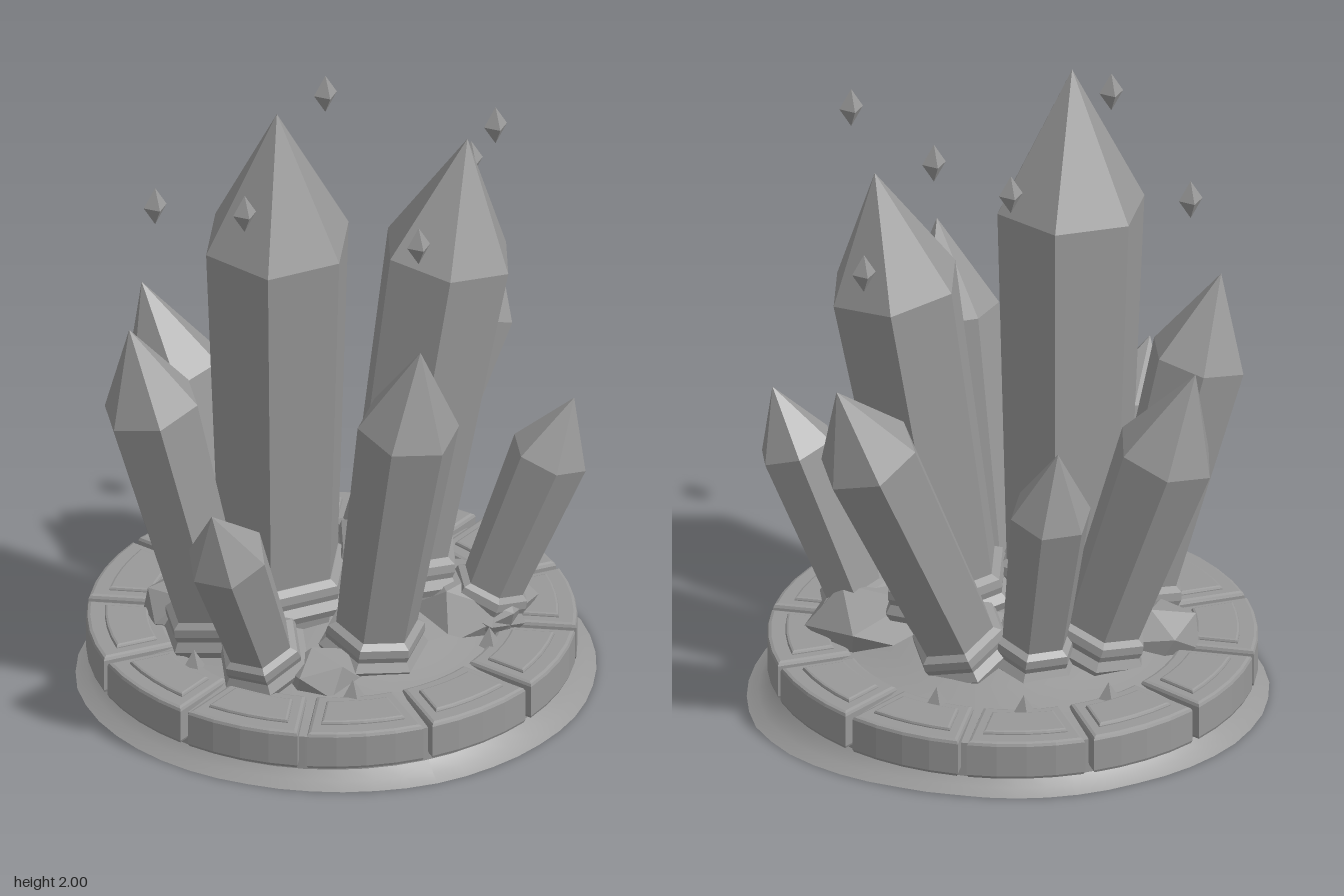
import * as THREE from 'three';

const stone = new THREE.MeshStandardMaterial({ color: 0x999999 });
stone.name = 'grey stone';

const V = (a) => new THREE.Vector3(...a);
const P = (list) => list.map(([x, y]) => new THREE.Vector2(x, y));

// Facet a geometry so every face has its own normal
function facet(geo) {
  const g = geo.index ? geo.toNonIndexed() : geo;
  g.computeVertexNormals();
  return g;
}

function add(parent, name, geo) {
  const mesh = new THREE.Mesh(geo, stone);
  mesh.name = name;
  parent.add(mesh);
  return mesh;
}

// Hexagonal crystal with a bevelled collar, leaning from base to tip
function crystal(name, base, tip, shoulder, r, rBase, yaw) {
  const g = new THREE.Group();
  g.name = name;
  const axis = V(tip).sub(V(base));
  const len = axis.length();
  const start = Math.PI / 2 + yaw;
  add(g, name + 'Shaft', facet(new THREE.LatheGeometry(
    P([[0, -0.17], [rBase * 0.97, -0.17], [r, len * shoulder], [0, len]]), 6, start)));
  const c = rBase * 1.02;
  add(g, name + 'Collar', facet(new THREE.LatheGeometry(
    P([[c, -0.09], [c + 0.035, -0.08], [c + 0.045, -0.055], [c + 0.025, -0.03], [c + 0.03, -0.01],
      [c + 0.025, 0.015], [c, 0.03], [c - 0.03, 0.03]]), 6, start)));
  g.position.set(...base);
  g.quaternion.setFromUnitVectors(new THREE.Vector3(0, 1, 0), axis.normalize());
  return g;
}

// Curved slab: ring sector centred on +x, lying flat with its bottom at y = 0
function sector(r0, r1, gap, height, bevel) {
  const a0 = Math.PI / 12 - gap / r0, a1 = Math.PI / 12 - gap / r1;
  const s = new THREE.Shape();
  const steps = 4;
  for (let i = 0; i <= steps; i++) {
    const a = -a1 + (2 * a1 * i) / steps;
    const x = r1 * Math.cos(a), y = r1 * Math.sin(a);
    if (i) s.lineTo(x, y); else s.moveTo(x, y);
  }
  for (let i = 0; i <= steps; i++) {
    const a = a0 - (2 * a0 * i) / steps;
    s.lineTo(r0 * Math.cos(a), r0 * Math.sin(a));
  }
  const geo = new THREE.ExtrudeGeometry(s, {
    depth: height - 2 * bevel, bevelEnabled: true, bevelThickness: bevel,
    bevelSize: bevel, bevelOffset: -bevel, bevelSegments: 2,
  });
  return geo.translate(0, 0, bevel).rotateX(-Math.PI / 2);
}

// Irregular flared foot: outline radius every 15 degrees from +x towards +z
function footGeometry() {
  const radii = [0.775, 0.765, 0.755, 0.75, 0.74, 0.735, 0.735, 0.73, 0.73, 0.735, 0.75, 0.765,
    0.78, 0.79, 0.785, 0.77, 0.745, 0.72, 0.71, 0.7, 0.69, 0.7, 0.73, 0.76];
  const n = 48;
  const geo = new THREE.LatheGeometry(
    P([[0, 0], [1, 0], [1, 0], [0.955, 0.018], [0.91, 0.045], [0.88, 0.08]]), n);
  const p = geo.attributes.position;
  for (let i = 0; i < p.count; i++) {
    const x = p.getX(i), z = p.getZ(i);
    const t = ((Math.atan2(z, x) / (2 * Math.PI) + 1) % 1) * 24;
    const k = Math.floor(t) % 24, f = t - Math.floor(t);
    const r = radii[k] * (1 - f) + radii[(k + 1) % 24] * f;
    p.setXYZ(i, x * r, p.getY(i), z * r);
  }
  geo.computeVertexNormals();
  return geo;
}

export function createModel() {
  const model = new THREE.Group();
  model.name = 'crystalCluster';

  // Foot and mound
  add(model, 'foot', footGeometry());
  const mound = add(model, 'mound', new THREE.LatheGeometry(
    P([[0.69, 0.06], [0.69, 0.17], [0.69, 0.17], [0.53, 0.18], [0.4, 0.215], [0.25, 0.26], [0, 0.29]]), 48));
  mound.position.x = -0.025;

  // Ring of twelve blocks with raised panels
  const ring = new THREE.Group();
  ring.name = 'blockRing';
  ring.position.set(-0.025, 0.077, -0.008);
  const block = sector(0.5, 0.73, 0.014, 0.123, 0.012);
  const panel = sector(0.545, 0.675, 0.05, 0.025, 0.008);
  for (let i = 0; i < 12; i++) {
    const a = ((i + 0.5) * Math.PI) / 6;
    add(ring, 'ringBlock', block).rotation.y = a;
    const p = add(ring, 'ringPanel', panel);
    p.rotation.y = a;
    p.position.y = 0.109;
  }
  model.add(ring);

  // Crystals: base, tip, shoulder fraction, shoulder radius, base radius, twist
  [
    ['mainCrystal', [-0.2, 0.4, 0.0], [-0.24, 2.0, 0.08], 0.725, 0.23, 0.19, 0],
    ['secondCrystal', [0.17, 0.4, 0.03], [0.384, 1.765, 0.06], 0.725, 0.205, 0.165, 0.15],
    ['leftCrystal', [-0.42, 0.3, 0.0], [-0.67, 1.3, -0.03], 0.73, 0.15, 0.115, 0.3],
    ['frontLeftCrystal', [-0.37, 0.3, 0.26], [-0.595, 0.88, 0.42], 0.69, 0.125, 0.1, 0.2],
    ['backRightCrystal', [0.2, 0.3, -0.18], [0.62, 1.245, -0.295], 0.74, 0.155, 0.12, 0.4],
    ['frontCrystal', [-0.01, 0.3, 0.29], [0.045, 1.34, 0.5], 0.73, 0.155, 0.12, -0.2],
    ['frontRightCrystal', [0.4, 0.3, 0.2], [0.62, 0.96, 0.315], 0.71, 0.12, 0.09, 0.3],
    ['backCrystal', [-0.01, 0.3, -0.27], [-0.02, 1.01, -0.455], 0.68, 0.125, 0.1, 0],
    ['backLeftCrystal', [-0.22, 0.3, -0.25], [-0.455, 1.2, -0.44], 0.69, 0.155, 0.12, 0.25],
  ].forEach((c) => model.add(crystal(...c)));

  // Boulders: centre, half sizes, turn
  [
    [[0.35, 0.23, 0.14], [0.22, 0.14, 0.2], 0.4],
    [[-0.42, 0.22, -0.2], [0.14, 0.1, 0.12], 1.1],
    [[-0.2, 0.21, 0.34], [0.13, 0.09, 0.11], 2.0],
  ].forEach(([pos, size, turn]) => {
    const geo = new THREE.IcosahedronGeometry(1, 0).rotateY(turn).rotateX(0.3).scale(...size);
    add(model, 'boulder', facet(geo)).position.set(...pos);
  });

  // Floating shards and small shards set into the ground
  const shard = facet(new THREE.OctahedronGeometry(1, 0).scale(0.037, 0.062, 0.037));
  [[-0.425, 1.8, 0.27], [-0.535, 1.63, -0.15], [0.07, 1.81, -0.28],
    [0.105, 1.61, 0.345], [0.4, 1.9, 0.235], [0.49, 1.555, -0.16],
  ].forEach((p) => add(model, 'floatingShard', shard).position.set(...p));
  [[-0.16, -0.51], [0.105, -0.51], [0.335, -0.38], [-0.525, 0.12], [-0.16, 0.47], [0.335, 0.34],
  ].forEach(([x, z]) => add(model, 'groundShard', shard).position.set(x, 0.19, z));

  return model;
}
